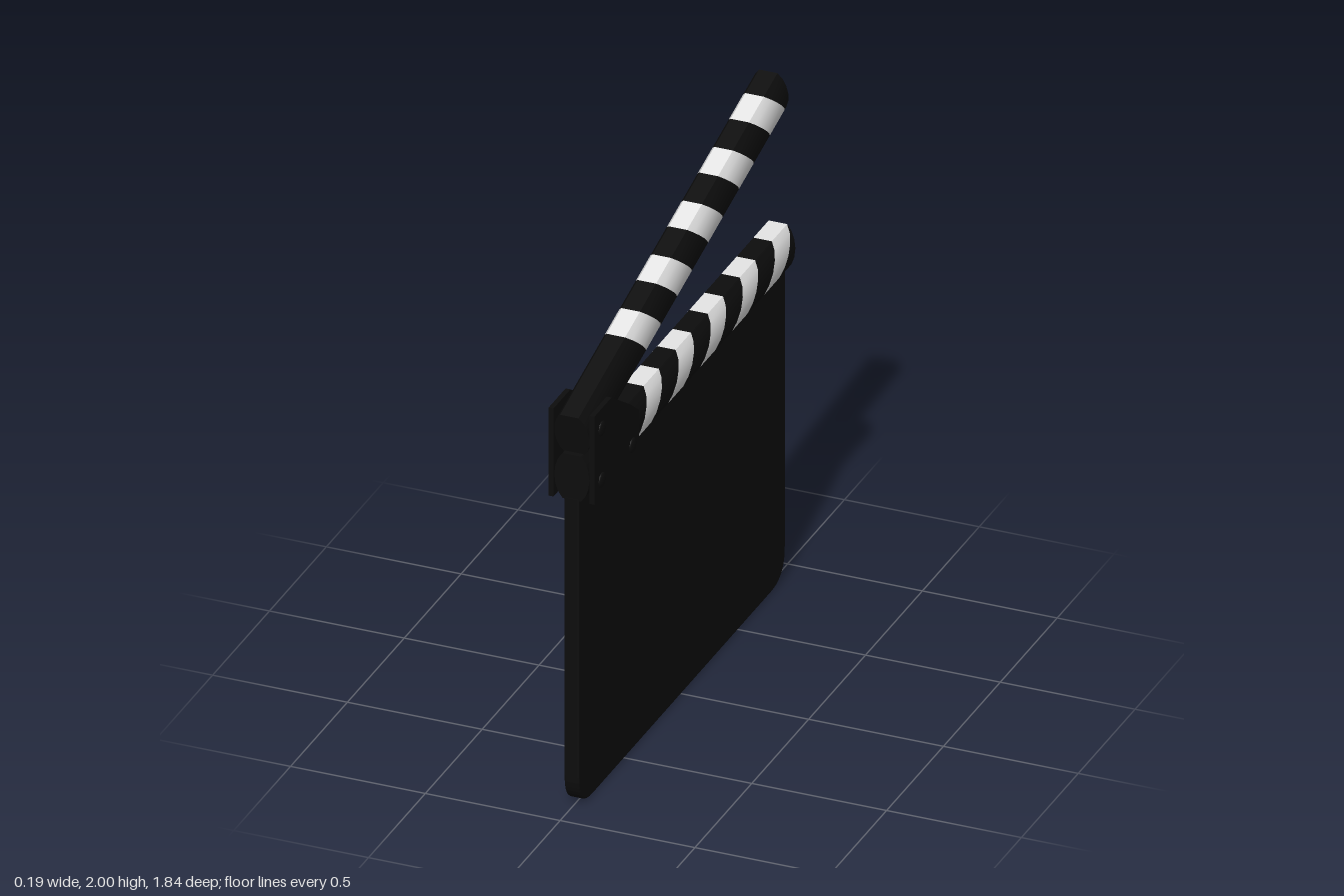
import * as THREE from 'three';
import { mergeGeometries, toCreasedNormals } from 'three/addons/utils/BufferGeometryUtils.js';

const LENGTH = 1.812, HALF = 0.0875;

// Closed stick cross-section, counter-clockwise, flat top and bottom with bulging sides
function stickRing() {
  const side = [[0.034, -HALF], [0.051, -0.064], [0.061, -0.035], [0.065, 0],
    [0.061, 0.035], [0.051, 0.064], [0.034, HALF]];
  return [...side, ...side.map(([x, y]) => [-x, -y])];
}

// Length of stick between two slanted cuts; slant is +1 or -1
function stickPiece(ring, a, b, slant) {
  const cut = (s, y) => {
    if (s <= 0) return 0;
    if (s >= LENGTH) return LENGTH;
    return Math.min(LENGTH, s + 0.125 * (0.5 - slant * y / (2 * HALF)));
  };
  const pos = [];
  ring.forEach((p, i) => {
    const q = ring[(i + 1) % ring.length];
    const f0 = [...p, -cut(a, p[1])], b0 = [...p, -cut(b, p[1])];
    const f1 = [...q, -cut(a, q[1])], b1 = [...q, -cut(b, q[1])];
    pos.push(...f0, ...b0, ...b1, ...f0, ...b1, ...f1);
  });
  const g = new THREE.BufferGeometry();
  g.setAttribute('position', new THREE.Float32BufferAttribute(pos, 3));
  return toCreasedNormals(g, 0.6);
}

// Striped stick running from its hinge end towards -z
function makeStick(name, slant, black, white) {
  const group = new THREE.Group();
  group.name = name;
  const ring = stickRing();
  const cuts = [0];
  for (let k = 0; k < 5; k++) cuts.push(0.425 + 0.282 * k, 0.56 + 0.282 * k);
  cuts.push(LENGTH);
  const pieces = [[], []];
  for (let i = 0; i < cuts.length - 1; i++) {
    pieces[i % 2].push(stickPiece(ring, cuts[i], cuts[i + 1], slant));
  }
  // Flat end caps
  const shape = new THREE.Shape(ring.map(([x, y]) => new THREE.Vector2(x, y)));
  const caps = [new THREE.ShapeGeometry(shape),
    new THREE.ShapeGeometry(shape).rotateY(Math.PI).translate(0, 0, -LENGTH)];
  for (const cap of caps) {
    const g = cap.toNonIndexed();
    g.deleteAttribute('uv');
    pieces[0].push(g);
  }
  [['darkStripes', black], ['lightStripes', white]].forEach(([part, mat], i) => {
    const mesh = new THREE.Mesh(mergeGeometries(pieces[i]), mat);
    mesh.name = part;
    group.add(mesh);
  });
  return group;
}

// Side outline drawn in (z, y), given thickness along x and centred on x = 0
function sidePlate(shape, thickness, bevel) {
  const depth = thickness - 2 * bevel;
  const g = new THREE.ExtrudeGeometry(shape, {
    depth, curveSegments: 10, bevelEnabled: bevel > 0,
    bevelThickness: bevel, bevelSize: bevel, bevelOffset: -bevel, bevelSegments: 2,
  });
  return g.translate(0, 0, -depth / 2).rotateY(-Math.PI / 2);
}

export function createModel() {
  const model = new THREE.Group();
  model.name = 'clapperboard';
  const black = new THREE.MeshStandardMaterial({ color: 0x0d0d0d });
  black.name = 'black';
  const white = new THREE.MeshStandardMaterial({ color: 0xe6e6e6 });
  white.name = 'white';

  // Board with rounded lower corners
  const z0 = -0.915, z1 = 0.9, r = 0.12, top = 1.2;
  const outline = new THREE.Shape();
  outline.moveTo(z1, top);
  outline.lineTo(z0, top);
  outline.lineTo(z0, r);
  outline.quadraticCurveTo(z0, 0, z0 + r, 0);
  outline.lineTo(z1 - r, 0);
  outline.quadraticCurveTo(z1, 0, z1, r);
  // Shape x maps to +z after the turn
  const board = new THREE.Mesh(sidePlate(outline, 0.056, 0.006), black);
  board.name = 'board';
  model.add(board);

  // Fixed and raised clap sticks
  const lower = makeStick('lowerStick', -1, black, white);
  lower.position.set(0, 1.2825, 0.897);
  const upper = makeStick('upperStick', 1, black, white);
  upper.position.set(0, 1.4455, 0.8975);
  upper.rotation.x = THREE.MathUtils.degToRad(15);
  model.add(lower, upper);

  // Hinge plates with domed rivets on both sides
  const plateShape = new THREE.Shape([[0.9, 1.195], [0.9, 1.537], [0.75, 1.537],
    [0.58, 1.425], [0.51, 1.37], [0.51, 1.195]].map(([z, y]) => new THREE.Vector2(z, y)));
  for (const side of [1, -1]) {
    const hinge = new THREE.Group();
    hinge.name = side > 0 ? 'leftHinge' : 'rightHinge';
    const plate = new THREE.Mesh(sidePlate(plateShape, 0.018, 0), black);
    plate.name = 'hingePlate';
    plate.position.x = side * 0.076;
    hinge.add(plate);
    for (const [z, y] of [[0.835, 1.46], [0.835, 1.26], [0.565, 1.26]]) {
      const dome = new THREE.SphereGeometry(0.028, 16, 6, 0, Math.PI * 2, 0, Math.PI / 2);
      const rivet = new THREE.Mesh(dome.scale(1, 0.3, 1).rotateZ(-side * Math.PI / 2), black);
      rivet.name = 'rivet';
      rivet.position.set(side * 0.085, y, z);
      hinge.add(rivet);
    }
    model.add(hinge);
  }
  return model;
}
